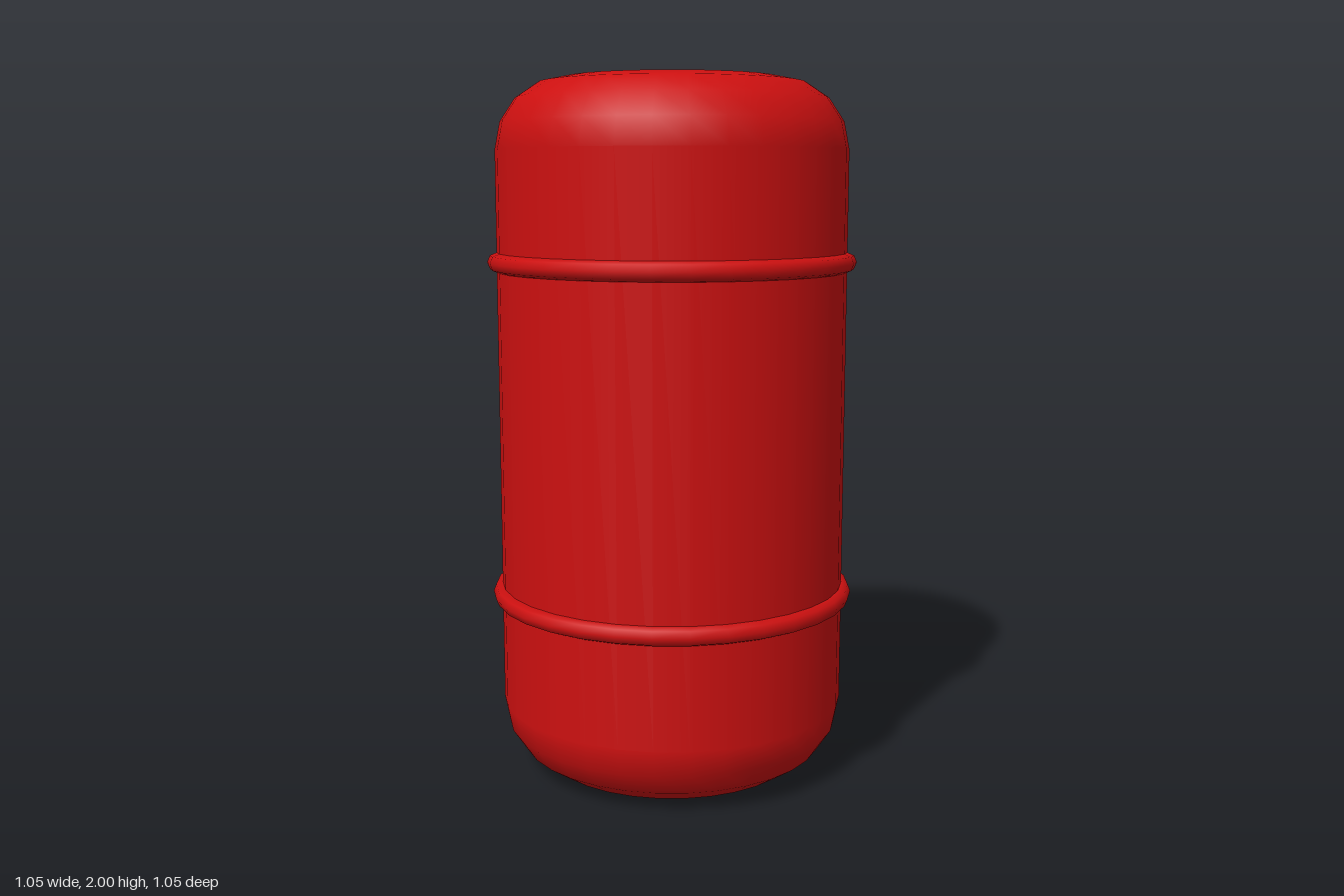
import * as THREE from 'three';

const RADIUS = 0.5, HEIGHT = 2, CORNER = 0.2, SIDES = 32;

// Closed drum with rounded top and bottom rims
function drumGeometry() {
  const steps = 4, inner = RADIUS - CORNER;
  const points = [new THREE.Vector2(0, 0)];
  for (const [cy, start] of [[CORNER, -Math.PI / 2], [HEIGHT - CORNER, 0]]) {
    for (let i = 0; i <= steps; i++) {
      const a = start + (i / steps) * Math.PI / 2;
      points.push(new THREE.Vector2(inner + CORNER * Math.cos(a), cy + CORNER * Math.sin(a)));
    }
  }
  points.push(new THREE.Vector2(0, HEIGHT));
  const geometry = new THREE.LatheGeometry(points, SIDES);

  // Exact rim normals keep the caps flat and the wall straight
  const pos = geometry.attributes.position, nor = geometry.attributes.normal;
  const p = new THREE.Vector3(), n = new THREE.Vector3();
  for (let i = 0; i < pos.count; i++) {
    p.fromBufferAttribute(pos, i);
    const r = Math.hypot(p.x, p.z);
    const k = r > 0 ? Math.min(r, inner) / r : 0;
    const cy = THREE.MathUtils.clamp(p.y, CORNER, HEIGHT - CORNER);
    n.set(p.x * (1 - k), p.y - cy, p.z * (1 - k)).normalize();
    nor.setXYZ(i, n.x, n.y, n.z);
  }
  return geometry;
}

export function createModel() {
  const red = new THREE.MeshStandardMaterial({ color: 0xcc1010 });
  red.name = 'red';

  const model = new THREE.Group();
  model.name = 'barrel';

  const body = new THREE.Mesh(drumGeometry(), red);
  body.name = 'body';
  model.add(body);

  // Raised hoops around the wall
  const hoop = new THREE.TorusGeometry(RADIUS, 0.027, 8, SIDES).rotateX(Math.PI / 2);
  for (const [name, y] of [['lowerHoop', 0.523], ['upperHoop', 1.485]]) {
    const mesh = new THREE.Mesh(hoop, red);
    mesh.name = name;
    mesh.position.y = y;
    model.add(mesh);
  }
  return model;
}
